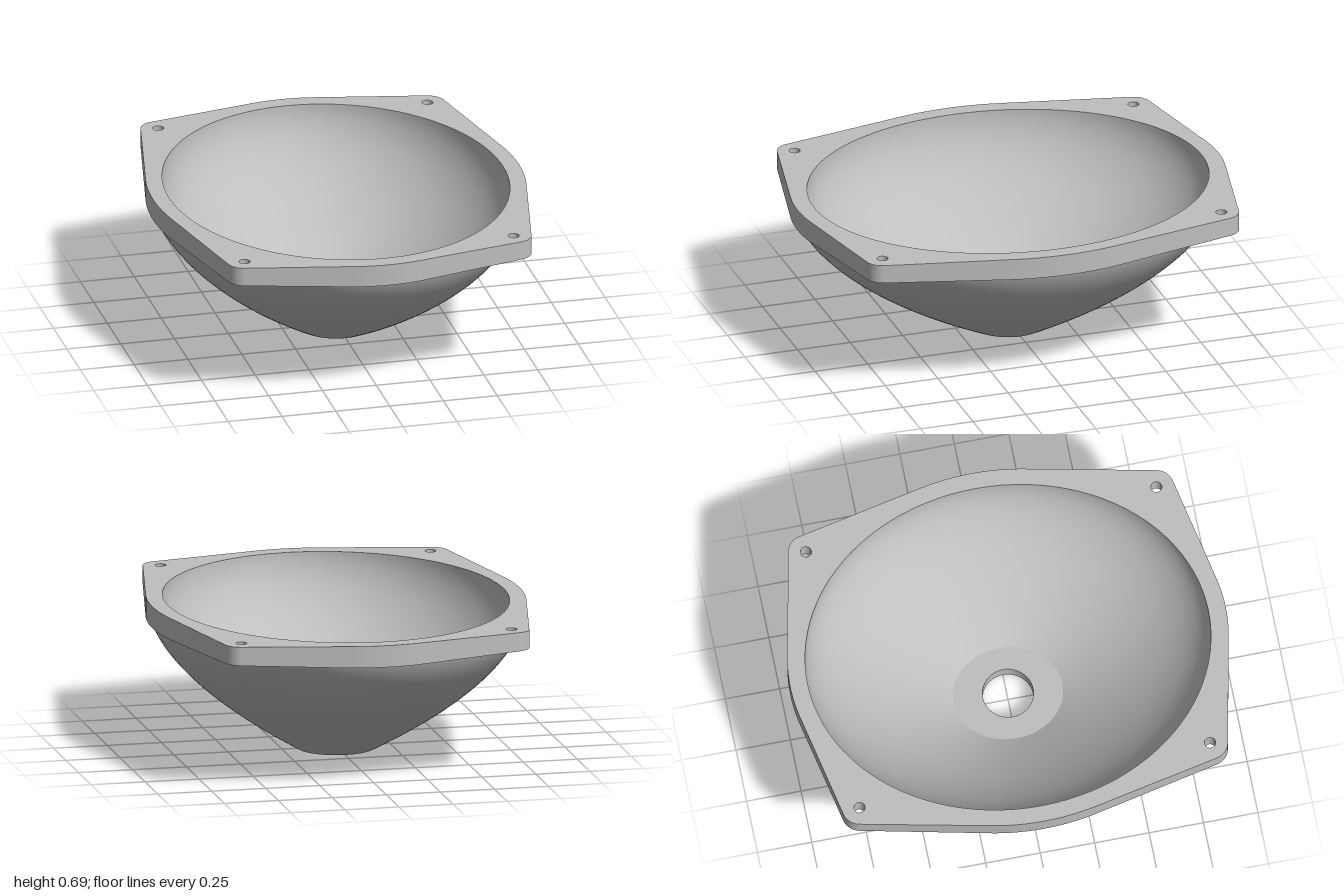
import * as THREE from 'three';
import { mergeGeometries } from 'three/addons/utils/BufferGeometryUtils.js';

const SEG = 128, TOP = 0.69, UNDER = 0.59;
const OUT = [0.85, 1], IN = [0.775, 0.92];   // rim half-widths in x and z
const HOLE = [0.625, 0.805];                 // screw hole centre

// Smooth skin through elliptical rings [rx, rz, y]
function loft(rings) {
  const pos = [], idx = [];
  for (const [rx, rz, y] of rings)
    for (let i = 0; i < SEG; i++) {
      const a = i / SEG * Math.PI * 2;
      pos.push(rx * Math.cos(a), y, rz * Math.sin(a));
    }
  for (let r = 0; r < rings.length - 1; r++)
    for (let i = 0; i < SEG; i++) {
      const j = (i + 1) % SEG, a = r * SEG + i, b = r * SEG + j;
      idx.push(a, a + SEG, b, b, a + SEG, b + SEG);
    }
  const g = new THREE.BufferGeometry();
  g.setAttribute('position', new THREE.Float32BufferAttribute(pos, 3));
  g.setIndex(idx);
  g.computeVertexNormals();
  return g;
}

// Rings along a quadratic curve that ends upright at the rim
function curveRings(start, rim, bendY, n = 40) {
  const curve = new THREE.QuadraticBezierCurve3(
    new THREE.Vector3(...start),
    new THREE.Vector3(rim[0], rim[1], bendY),
    new THREE.Vector3(rim[0], rim[1], TOP));
  return curve.getPoints(n).map(p => p.toArray());
}

// Hull of the rim ellipse and four rounded corners
function flangeOutline(n = 360, r = 0.08) {
  const pts = [];
  for (let i = 0; i < n; i++) {
    const a = (i + 0.5) / n * Math.PI * 2, c = Math.cos(a), s = Math.sin(a);
    const h = Math.hypot(OUT[0] * c, OUT[1] * s);
    const cx = Math.sign(c) * HOLE[0], cy = Math.sign(s) * HOLE[1];
    pts.push(h > cx * c + cy * s + r
      ? new THREE.Vector2(OUT[0] ** 2 * c / h, OUT[1] ** 2 * s / h)
      : new THREE.Vector2(cx + r * c, cy + r * s));
  }
  return pts;
}

function flangeGeometry() {
  const shape = new THREE.Shape(flangeOutline());
  shape.holes.push(new THREE.Path().absellipse(0, 0, IN[0], IN[1], 0, Math.PI * 2, true));
  for (const sx of [-1, 1])
    for (const sz of [-1, 1])
      shape.holes.push(new THREE.Path().absarc(sx * HOLE[0], sz * HOLE[1], 0.025, 0, Math.PI * 2, true));
  const g = new THREE.ExtrudeGeometry(shape, { depth: TOP - UNDER, bevelEnabled: false, curveSegments: 48 });
  g.rotateX(-Math.PI / 2).translate(0, UNDER, 0);
  // The underside rises slightly towards each corner; its inner edge stays inside the bowl wall
  const p = g.attributes.position;
  for (let i = 0; i < p.count; i++) {
    if (p.getY(i) > UNDER + 0.01) continue;
    const x = p.getX(i), z = p.getZ(i);
    const d = ((Math.abs(x) - 0.8) * 0.65 + (Math.abs(z) - 0.31) * 0.6) / 0.885;
    const k = Math.hypot(x / IN[0], z / IN[1]) < 1.005 ? 1.03 : 1;
    p.setXYZ(i, x * k, UNDER + 0.05 * Math.max(0, d), z * k);
  }
  g.computeVertexNormals();
  return g;
}

export function createModel() {
  const grey = new THREE.MeshStandardMaterial({ color: 0xbfbfbf });
  grey.name = 'grey plastic';
  const model = new THREE.Group();
  model.name = 'flangedBowl';
  const add = (name, geometry) => {
    const mesh = new THREE.Mesh(geometry, grey);
    mesh.name = name;
    model.add(mesh);
  };

  // Bowl skins, running from the round base to the oval rim
  add('bowlOutside', loft(curveRings([0.18, 0.18, 0], OUT, 0.39)));
  add('bowlInside', loft(curveRings([0.22, 0.25, 0.085], IN, 0.4).reverse()));

  // Base ring with a shallow counterbore, drain hole and inner floor
  const base = [[0.115, 0.115, 0.015], [0.14, 0.14, 0.015], [0.14, 0.14, 0], [0.18, 0.18, 0]];
  const hole = [[0.22, 0.25, 0.085], [0.115, 0.115, 0.085], [0.115, 0.115, 0.015]];
  const bands = [base, hole].flatMap(l => l.slice(1).map((r, i) => loft([l[i], r])));
  add('baseAndDrainHole', mergeGeometries(bands));

  // Mounting flange with four screw holes
  add('mountingFlange', flangeGeometry());
  return model;
}
